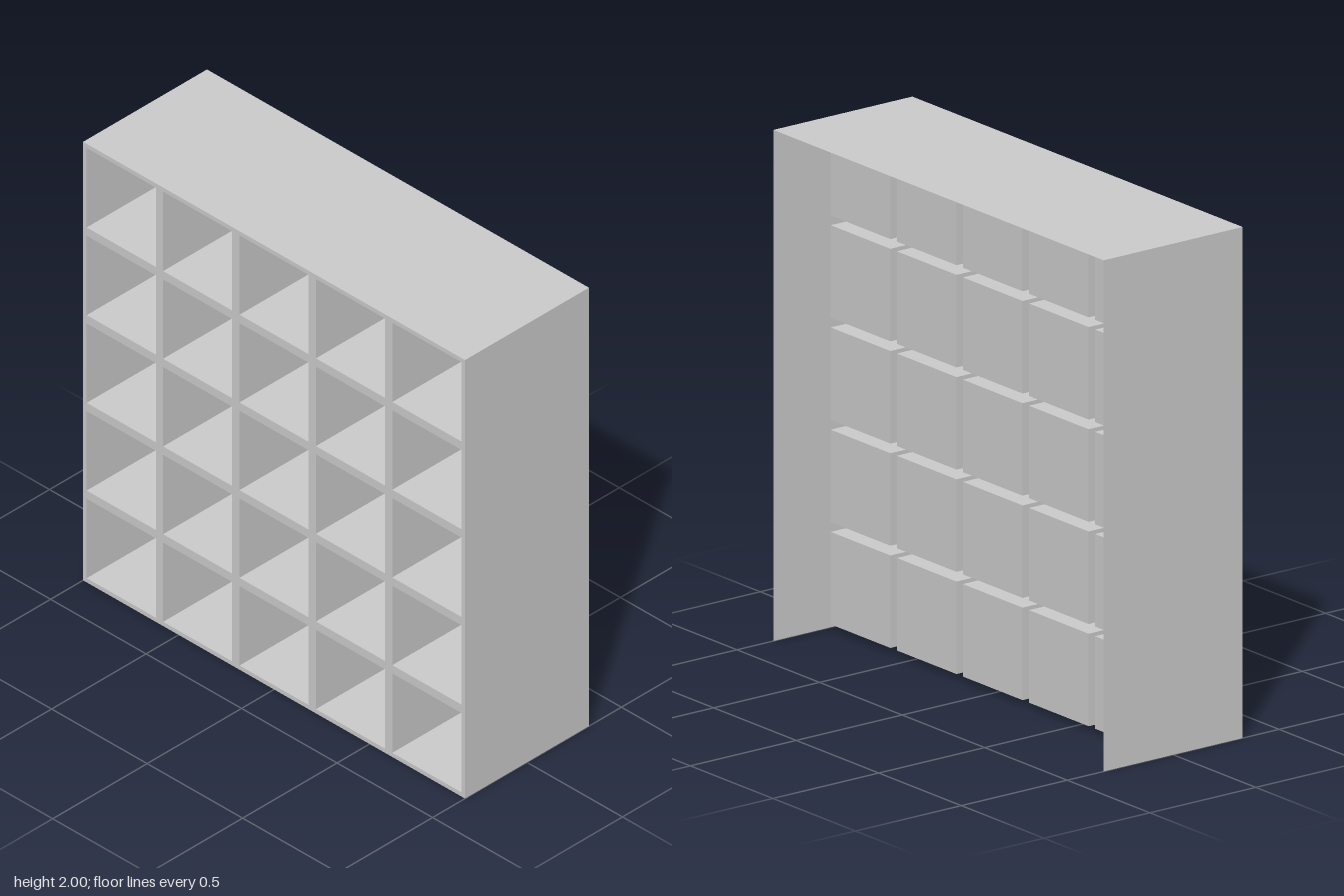
import * as THREE from 'three';

const material = new THREE.MeshStandardMaterial({ color: 0xcccccc, side: THREE.DoubleSide });

const SIZE = 2, DEPTH = 0.656, FRONT = DEPTH / 2;
const COUNT = 5, PITCH = SIZE / COUNT;
const CELL = 0.362, CELL_DEPTH = 0.4;

// Thin-walled box keeping only the listed sides: 0 +x, 1 -x, 2 +y, 3 -y, 4 +z, 5 -z
function openBox(w, h, d, sides) {
  const geometry = new THREE.BoxGeometry(w, h, d);
  const index = Array.from(geometry.index.array);
  geometry.setIndex(sides.flatMap((s) => index.slice(s * 6, s * 6 + 6)));
  geometry.clearGroups();
  return geometry;
}

function addMesh(parent, name, geometry, x, y, z) {
  const mesh = new THREE.Mesh(geometry, material);
  mesh.name = name;
  mesh.position.set(x, y, z);
  parent.add(mesh);
  return mesh;
}

function rectangle(path, x, y, w, h) {
  path.moveTo(x - w / 2, y - h / 2);
  path.lineTo(x + w / 2, y - h / 2);
  path.lineTo(x + w / 2, y + h / 2);
  path.lineTo(x - w / 2, y + h / 2);
  path.closePath();
  return path;
}

export function createModel() {
  const model = new THREE.Group();
  model.name = 'cubbyShelf';

  // Outer case: two sides and a top, open at the back and underneath
  addMesh(model, 'outerCase', openBox(SIZE, SIZE, DEPTH, [0, 1, 2]), 0, SIZE / 2, 0);

  // Compartments, open to the front, and the matching holes in the face frame
  const frame = rectangle(new THREE.Shape(), 0, SIZE / 2, SIZE, SIZE);
  const cellGeometry = openBox(CELL, CELL, CELL_DEPTH, [0, 1, 2, 3, 5]);
  const compartments = new THREE.Group();
  compartments.name = 'compartments';
  for (let row = 0; row < COUNT; row++) {
    for (let col = 0; col < COUNT; col++) {
      const x = (col + 0.5) * PITCH - SIZE / 2;
      const y = (row + 0.5) * PITCH;
      frame.holes.push(rectangle(new THREE.Path(), x, y, CELL, CELL));
      addMesh(compartments, 'compartment', cellGeometry, x, y, FRONT - CELL_DEPTH / 2);
    }
  }
  model.add(compartments);

  // Flat face frame
  addMesh(model, 'faceFrame', new THREE.ShapeGeometry(frame), 0, 0, FRONT);
  return model;
}
